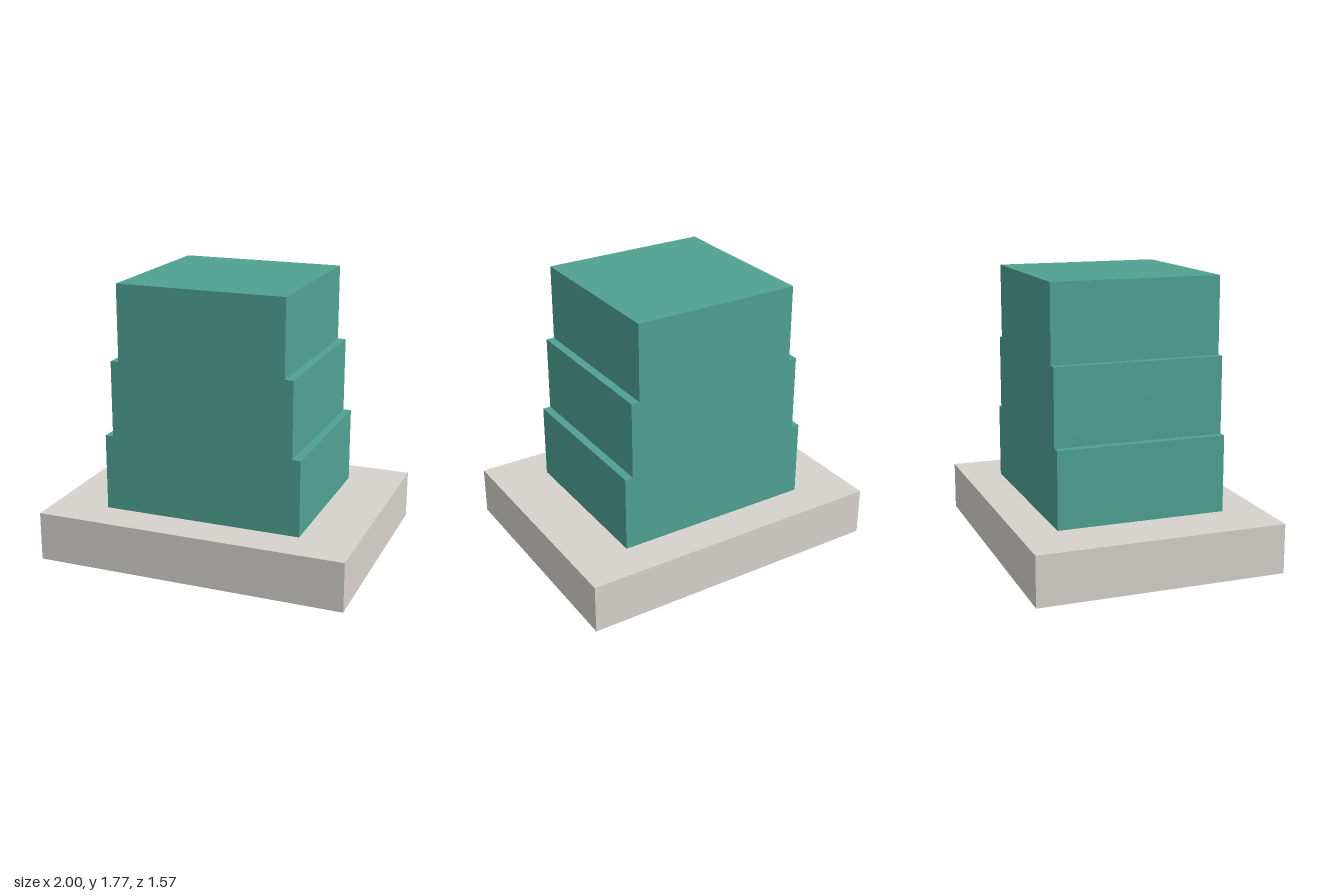
import * as THREE from 'three';

export function createModel() {
  const model = new THREE.Group();
  model.name = 'steppedBlockOnPlinth';

  // Plinth: a plain slab
  const baseHeight = 0.314;
  const plinth = new THREE.Mesh(
    new THREE.BoxGeometry(2, baseHeight, 1.57),
    new THREE.MeshStandardMaterial({ color: 0xd6d3cd })
  );
  plinth.name = 'plinth';
  plinth.position.y = baseHeight / 2;
  model.add(plinth);

  // Stepped tower: three equal tiers narrowing in x only, extruded along z
  const halfWidths = [0.644, 0.592, 0.539];
  const tierHeight = 0.487;
  const depth = 1.078;
  const rightSide = halfWidths.flatMap((w, i) => [
    new THREE.Vector2(w, i * tierHeight),
    new THREE.Vector2(w, (i + 1) * tierHeight),
  ]);
  const leftSide = rightSide.map((p) => new THREE.Vector2(-p.x, p.y)).reverse();
  const towerGeometry = new THREE.ExtrudeGeometry(
    new THREE.Shape([...rightSide, ...leftSide]),
    { depth, bevelEnabled: false }
  );
  towerGeometry.translate(0, baseHeight, -depth / 2);

  const tower = new THREE.Mesh(
    towerGeometry,
    new THREE.MeshStandardMaterial({ color: 0x4fa293 })
  );
  tower.name = 'steppedTower';
  model.add(tower);

  return model;
}
